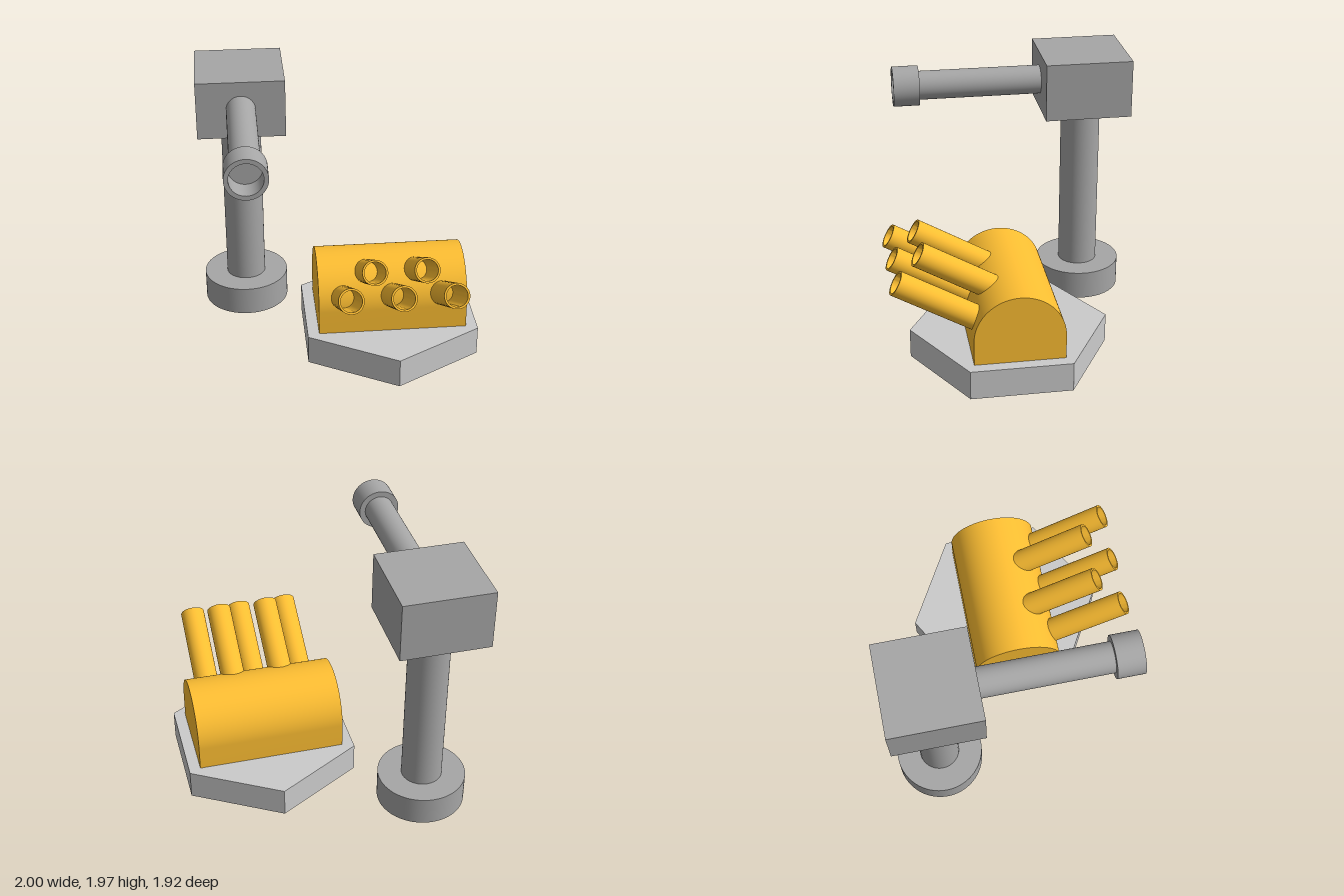
import * as THREE from 'three';
import { toCreasedNormals } from 'three/addons/utils/BufferGeometryUtils.js';

const light = new THREE.MeshStandardMaterial({ color: 0xcccccc });
const dark = new THREE.MeshStandardMaterial({ color: 0xa6a6a6 });
const gold = new THREE.MeshStandardMaterial({ color: 0xfdbe32 });

export function createModel() {
  const model = new THREE.Group();

  function add(parent, name, geometry, material, x, y, z) {
    const mesh = new THREE.Mesh(geometry, material);
    mesh.name = name;
    mesh.position.set(x, y, z);
    parent.add(mesh);
    return mesh;
  }

  // Revolved profile of [radius, height] pairs with sharp corners
  const turned = (profile) => toCreasedNormals(
    new THREE.LatheGeometry(profile.map(([r, h]) => new THREE.Vector2(r, h)), 48), 0.6);

  // Tower: round foot, column and square head
  const tower = new THREE.Group();
  tower.name = 'tower';
  tower.position.set(-0.675, 0, -0.635);
  model.add(tower);
  add(tower, 'towerFoot', new THREE.CylinderGeometry(0.325, 0.325, 0.22, 64), dark, 0, 0.11, 0);
  add(tower, 'column', new THREE.CylinderGeometry(0.15, 0.15, 1.33, 48), dark, 0, 0.875, 0);
  add(tower, 'head', new THREE.BoxGeometry(0.65, 0.435, 0.65), dark, 0, 1.7475, 0);

  // Long barrel with a hollow muzzle, pointing forward from the head
  const barrel = add(tower, 'barrel',
    new THREE.CylinderGeometry(0.108, 0.108, 0.94, 48), dark, 0, 1.75, 0.785);
  barrel.rotation.x = Math.PI / 2;
  const muzzle = add(tower, 'muzzle',
    turned([[0, 0], [0.15, 0], [0.15, 0.195], [0.118, 0.195], [0.118, 0.025], [0, 0.025]]),
    dark, 0, 1.75, 1.245);
  muzzle.rotation.x = Math.PI / 2;

  // Launcher: hexagonal plinth, arched body and five tilted tubes
  const launcher = new THREE.Group();
  launcher.name = 'launcher';
  launcher.position.set(0.37, 0, 0.085);
  model.add(launcher);
  add(launcher, 'plinth',
    toCreasedNormals(new THREE.CylinderGeometry(0.727, 0.727, 0.22, 6), 0.5),
    light, 0, 0.145, 0);

  const arch = new THREE.Shape();
  arch.moveTo(-0.325, 0.255);
  arch.lineTo(0.325, 0.255);
  arch.lineTo(0.325, 0.435);
  arch.absarc(0, 0.435, 0.325, 0, Math.PI, false);
  arch.closePath();
  const bodyGeometry = toCreasedNormals(new THREE.ExtrudeGeometry(arch,
    { depth: 1.09, bevelEnabled: false, curveSegments: 32 }), 0.5);
  bodyGeometry.translate(0, 0, -0.545).rotateY(Math.PI / 2);
  add(launcher, 'archedBody', bodyGeometry, gold, 0, 0, 0);

  // Open tubes in two staggered rows; each mesh origin is at its mouth
  const tubeGeometry = turned([[0.09, -0.7], [0.09, 0], [0.075, 0], [0.075, -0.7]]);
  for (let i = -2; i <= 2; i++) {
    const upper = i % 2 !== 0;
    const tube = add(launcher, upper ? 'upperTube' : 'lowerTube', tubeGeometry, gold,
      i * 0.182, upper ? 0.962 : 0.848, upper ? 0.665 : 0.835);
    tube.rotation.x = Math.PI / 3;
  }

  return model;
}
